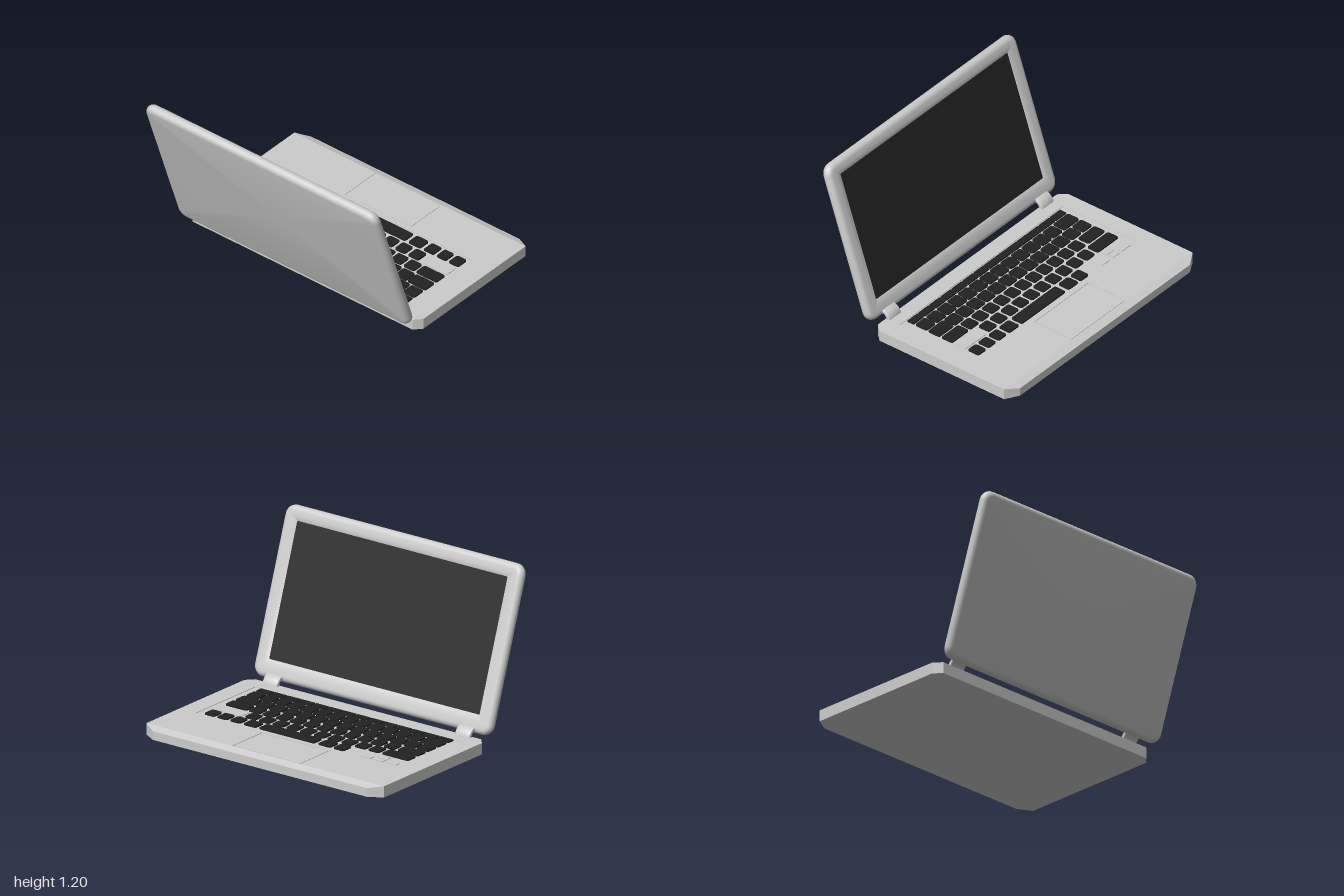
import * as THREE from 'three';
import { toCreasedNormals } from 'three/addons/utils/BufferGeometryUtils.js';

const grey = new THREE.MeshStandardMaterial({ color: 0xcccccc });
const dark = new THREE.MeshStandardMaterial({ color: 0x222222 });

function add(parent, name, geometry, material = grey) {
  const mesh = new THREE.Mesh(geometry, material);
  mesh.name = name;
  parent.add(mesh);
  return mesh;
}

// Extrude a plan shape (drawn as x, -z) upwards from y0 to y1
function slab(shape, y0, y1) {
  const g = new THREE.ExtrudeGeometry(shape, { depth: y1 - y0, bevelEnabled: false, curveSegments: 3 });
  return g.rotateX(-Math.PI / 2).translate(0, y0, 0);
}

const polygon = pts => new THREE.Shape(pts.map(([x, z]) => new THREE.Vector2(x, -z)));

function rect(x0, x1, z0, z1, r = 0.001) {
  const s = new THREE.Shape(), a = -z1, b = -z0;
  s.moveTo(x0 + r, a).lineTo(x1 - r, a).quadraticCurveTo(x1, a, x1, a + r);
  s.lineTo(x1, b - r).quadraticCurveTo(x1, b, x1 - r, b);
  s.lineTo(x0 + r, b).quadraticCurveTo(x0, b, x0, b - r);
  s.lineTo(x0, a + r).quadraticCurveTo(x0, a, x0 + r, a);
  return s;
}

function buildBase() {
  const base = new THREE.Group();
  base.name = 'base';
  const outline = [[0.753, 1], [0.753, -1], [-0.31, -1], [-0.365, -0.95], [-0.365, 0.95], [-0.31, 1]];
  add(base, 'baseBody', slab(polygon(outline), 0, 0.0765));

  // Deck with a shallow keyboard well and a touchpad opening
  const deck = polygon(outline);
  deck.holes.push(rect(-0.25, 0.4, -0.868, 0.862), rect(0.427, 0.756 - 0.006, -0.295, 0.28));
  add(base, 'deck', slab(deck, 0.0765, 0.08));
  add(base, 'touchpad', slab(rect(0.435, 0.742, -0.287, 0.272), 0.0765, 0.0798));

  // Front lip, sloping down to the front edge
  const lip = slab(polygon([[0.753, 1], [0.81, 0.9], [0.81, -0.9], [0.753, -1]]), 0, 0.08);
  const p = lip.attributes.position;
  for (let i = 0; i < p.count; i++) if (p.getX(i) > 0.8 && p.getY(i) > 0.05) p.setY(i, 0.061);
  lip.computeVertexNormals();
  add(base, 'frontLip', lip);
  return base;
}

function buildKeyboard() {
  const keyboard = new THREE.Group();
  keyboard.name = 'keyboard';
  const key = (x0, x1, z0, z1, r = 0.016) =>
    add(keyboard, 'key', slab(rect(x0, x1, z0, z1, r), 0.0765, 0.087), dark);

  // Rows of equal keys: x range, first z, pitch, count, key length
  const rows = [
    [-0.234, -0.18, -0.82, 0.1163, 14, 0.108, 0.003],
    [-0.167, -0.068, -0.645, 0.1122, 13, 0.1, 0.016],
    [-0.055, 0.043, -0.82, 0.1131, 13, 0.1, 0.016],
    [0.06, 0.152, -0.617, 0.1133, 11, 0.092, 0.016],
    [0.172, 0.264, -0.575, 0.1154, 10, 0.09, 0.016],
  ];
  for (const [x0, x1, z, pitch, n, len, r] of rows)
    for (let i = 0; i < n; i++) key(x0, x1, z + i * pitch, z + i * pitch + len, r);

  // Wide keys at the row ends
  key(-0.167, -0.068, -0.82, -0.66);
  key(-0.055, 0.043, 0.647, 0.805);
  key(0.06, 0.152, -0.82, -0.643);
  key(0.06, 0.152, 0.626, 0.805);
  key(0.172, 0.264, -0.823, -0.602);

  // Last row with the space bar
  const last = [[-0.367, -0.28], [-0.257, -0.153], [-0.12, 0.345], [0.372, 0.476],
    [0.504, 0.59], [0.615, 0.697], [0.721, 0.805]];
  for (const [z0, z1] of last) key(0.285, 0.378, z0, z1);

  // Flat grey keys: one wide key and the arrow cluster
  const flat = [[0.172, 0.264, 0.582, 0.802], [0.337, 0.378, -0.81, -0.715],
    [0.337, 0.378, -0.697, -0.618], [0.285, 0.327, -0.697, -0.618], [0.337, 0.378, -0.597, -0.513]];
  for (const [x0, x1, z0, z1] of flat)
    add(keyboard, 'flatKey', slab(rect(x0, x1, z0, z1), 0.0765, 0.081));
  return keyboard;
}

// Rounded rectangle ring in the lid's y-z plane at depth x
function ring(inset, x, shift = 0) {
  const h = 0.585 - inset, w = 1 - inset, r = Math.max(0.075 - inset, 0.006), pts = [];
  for (let c = 0; c < 4; c++) {
    const sy = c === 0 || c === 3 ? 1 : -1, sz = c < 2 ? 1 : -1;
    for (let i = 0; i <= 6; i++) {
      const a = (c + i / 6) * Math.PI / 2;
      pts.push([x, shift + sy * (h - r) + r * Math.cos(a), sz * (w - r) + r * Math.sin(a)]);
    }
  }
  return pts;
}

// Skin a run of rings; optional flat caps at the back and front
function loft(rings, capBack, capFront) {
  const n = rings[0].length, index = [], pos = rings.flat();
  const cap = (row, front) => {
    const c = pos.length, k = row * n;
    pos.push([rings[row][0][0], 0, 0]);
    for (let j = 0; j < n; j++) {
      const a = k + j, b = k + (j + 1) % n;
      index.push(c, front ? a : b, front ? b : a);
    }
  };
  for (let i = 0; i < rings.length - 1; i++)
    for (let j = 0; j < n; j++) {
      const a = i * n + j, b = i * n + (j + 1) % n;
      index.push(a, b, a + n, b, b + n, a + n);
    }
  if (capBack) cap(0, false);
  if (capFront) cap(rings.length - 1, true);
  const g = new THREE.BufferGeometry();
  g.setAttribute('position', new THREE.Float32BufferAttribute(pos.flat(), 3));
  g.setIndex(index);
  return toCreasedNormals(g, 0.6);
}

function buildLid() {
  const lid = new THREE.Group();
  lid.name = 'lid';
  const t = 0.0375, rings = [];
  // Rounded rim, then the bezel falling gently to the screen
  for (let i = 0; i <= 10; i++) {
    const a = -Math.PI / 2 + i / 10 * Math.PI;
    rings.push(ring(t * (1 - Math.cos(a)), t * Math.sin(a)));
  }
  rings.push(ring(0.075, 0.036, 0.004), ring(0.105, 0.033, 0.0125), ring(0.115, 0.027, 0.0125));
  add(lid, 'lidShell', loft(rings, true, false));
  add(lid, 'screen', loft([ring(0.115, 0.027, 0.0125)], false, true), dark);
  lid.position.set(-0.605, 0.644, 0);
  lid.rotation.z = 0.33;
  return lid;
}

function buildHinge(z) {
  // Curved strap from the deck up into the lid
  const s = new THREE.Shape(), cx = -0.405, cy = 0.065;
  s.moveTo(cx + 0.069, cy).absarc(cx, cy, 0.069, 0, Math.PI / 2, false);
  s.lineTo(-0.43, cy + 0.069).lineTo(-0.43, cy + 0.054);
  s.lineTo(cx, cy + 0.054).absarc(cx, cy, 0.054, Math.PI / 2, 0, true);
  const g = new THREE.ExtrudeGeometry(s, { depth: 0.112, bevelSize: 0.006, bevelThickness: 0.006, bevelSegments: 3, curveSegments: 12 });
  g.translate(0, 0, z - 0.056);
  return toCreasedNormals(g, 0.7);
}

export function createModel() {
  const model = new THREE.Group();
  model.name = 'laptop';
  model.add(buildBase(), buildKeyboard(), buildLid());
  add(model, 'rightHinge', buildHinge(-0.815));
  add(model, 'leftHinge', buildHinge(0.805));
  return model;
}
